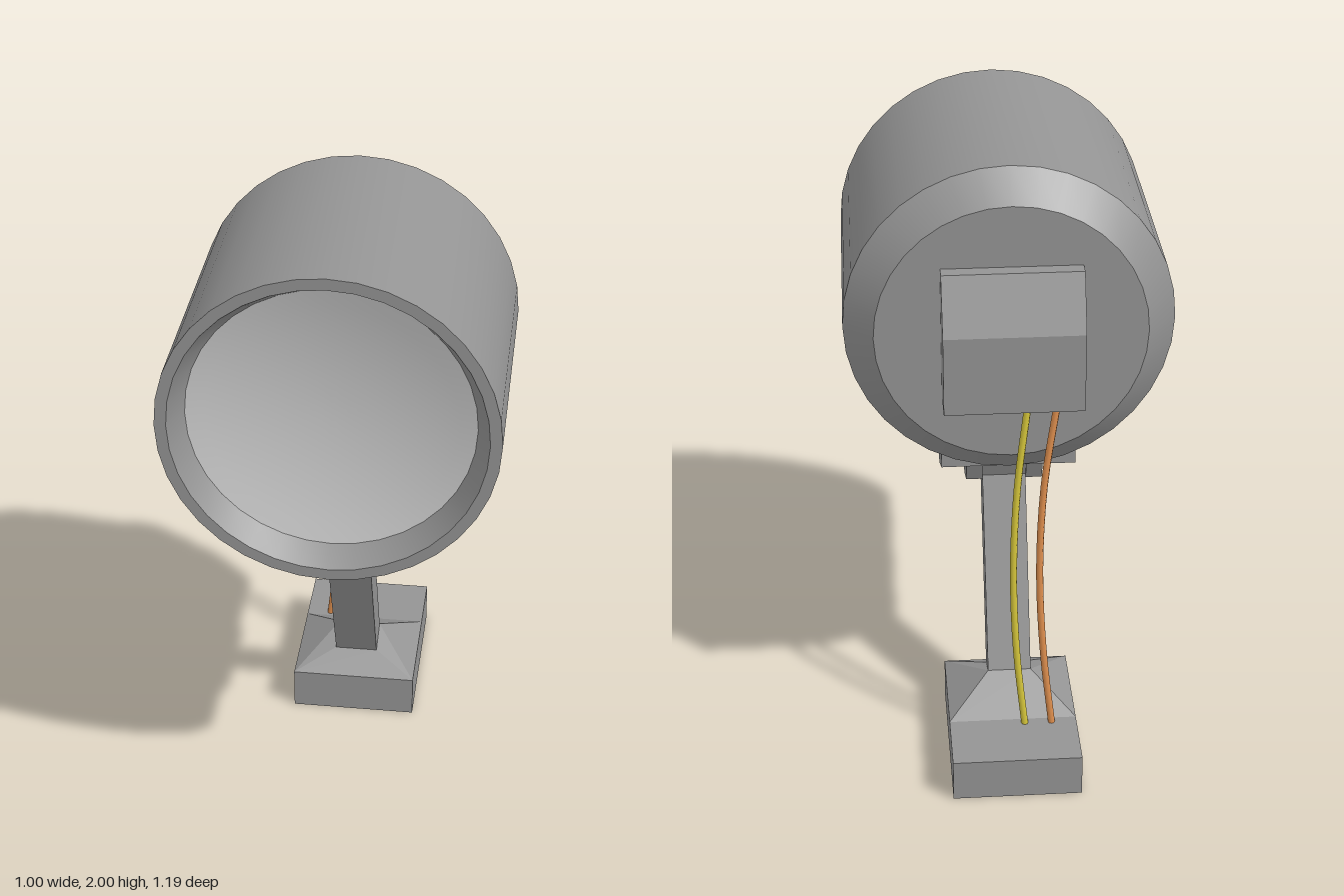
import * as THREE from 'three';
import { toCreasedNormals } from 'three/addons/utils/BufferGeometryUtils.js';
import { ConvexGeometry } from 'three/addons/geometries/ConvexGeometry.js';

const paint = (color) => new THREE.MeshStandardMaterial({ color });

export function createModel() {
  const model = new THREE.Group();
  const housingGrey = paint(0x949494);
  const lensGrey = paint(0xcccccc);

  function add(name, geometry, material = housingGrey) {
    const mesh = new THREE.Mesh(geometry, material);
    mesh.name = name;
    model.add(mesh);
    return mesh;
  }

  // Side profile given as [z, y] points, extruded across x and centred on x
  function slab(name, profile, width, x = 0) {
    const shape = new THREE.Shape(profile.map(([z, y]) => new THREE.Vector2(z, y)));
    const geometry = new THREE.ExtrudeGeometry(shape, { depth: width, bevelEnabled: false });
    geometry.translate(0, 0, -width / 2).rotateY(-Math.PI / 2).translate(x, 0, 0);
    return add(name, geometry);
  }

  // Turned part given as [radius, z] points around the lamp axis
  function turned(name, profile, material) {
    const geometry = new THREE.LatheGeometry(profile.map(([r, z]) => new THREE.Vector2(r, z)), 36);
    geometry.rotateX(Math.PI / 2).translate(0, 1.5, 0);
    return add(name, toCreasedNormals(geometry, Math.PI / 6), material);
  }

  // Lamp housing with a chamfered back and a recessed front rim
  turned('housing', [[0, -0.31], [0.41, -0.31], [0.5, -0.22], [0.5, 0.595], [0.465, 0.595], [0.425, 0.515]]);

  // Shallow dished lens
  const dish = [];
  for (let i = 0; i <= 8; i++) {
    const r = 0.425 * (1 - i / 8);
    dish.push([r, 0.455 + 0.06 * (r / 0.425) ** 2]);
  }
  turned('lens', dish, lensGrey);

  // Connection box on the back
  slab('connectionBox', [[-0.43, 1.3], [-0.3, 1.3], [-0.3, 1.72], [-0.355, 1.72], [-0.43, 1.55]], 0.42);

  // Saddle under the housing
  slab('saddle', [[-0.19, 1.045], [-0.19, 0.985], [-0.03, 0.91], [0.26, 0.91], [0.45, 0.985], [0.45, 1.045]], 0.42);

  // Hinge: two cheeks around a slightly smaller knuckle
  for (const side of [-1, 1]) {
    slab(side > 0 ? 'leftHingeCheek' : 'rightHingeCheek',
      [[-0.03, 0.915], [0.01, 0.82], [0.115, 0.785], [0.22, 0.82], [0.26, 0.915]], 0.053, side * 0.0965);
  }
  slab('hingeKnuckle', [[-0.02, 0.915], [0.015, 0.825], [0.115, 0.79], [0.21, 0.825], [0.245, 0.915]], 0.14);

  // Slanted arm
  slab('arm', [[-0.23, 0.23], [-0.13, 0.19], [0.125, 0.81], [0.02, 0.85]], 0.14);

  // Foot block with a tapered socket for the arm
  const foot = new THREE.BoxGeometry(0.41, 0.14, 0.555);
  foot.translate(0, 0.07, -0.3175);
  add('foot', foot);
  const corners = [];
  for (const s of [-1, 1]) {
    corners.push(
      new THREE.Vector3(s * 0.205, 0.14, -0.04), new THREE.Vector3(s * 0.205, 0.14, -0.38),
      new THREE.Vector3(s * 0.07, 0.192, -0.13), new THREE.Vector3(s * 0.07, 0.23, -0.23));
  }
  add('armSocket', new ConvexGeometry(corners));

  // Two slack wires from the connection box to the foot
  function wire(name, color, points) {
    const curve = new THREE.CatmullRomCurve3(points.map((p) => new THREE.Vector3(...p)));
    add(name, new THREE.TubeGeometry(curve, 16, 0.011, 8), paint(color));
  }
  wire('orangeWire', 0xe0904f, [[-0.135, 1.31, -0.365], [-0.095, 1.02, -0.377], [-0.082, 0.72, -0.388], [-0.095, 0.42, -0.396], [-0.125, 0.13, -0.4]]);
  wire('yellowWire', 0xd8c83c, [[-0.045, 1.31, -0.375], [-0.012, 1.02, -0.386], [0, 0.72, -0.393], [-0.01, 0.42, -0.398], [-0.038, 0.13, -0.4]]);

  return model;
}
